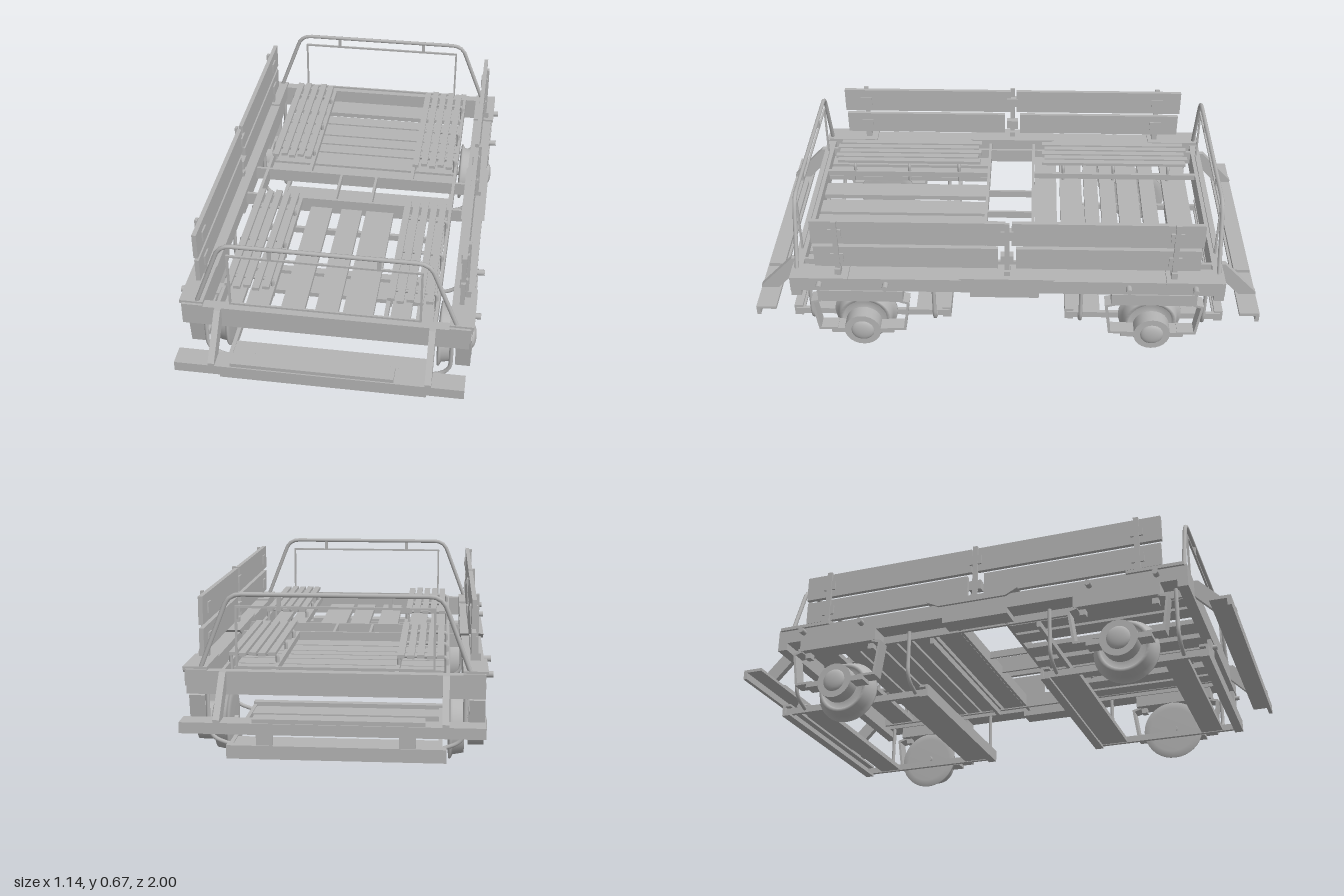
import * as THREE from 'three';

export function createModel() {
  const root = new THREE.Group();
  root.name = 'railWagon';
  const grey = new THREE.MeshStandardMaterial({ color: 0xb4b4b4 });
  grey.name = 'plain grey';

  const add = (name, geo, parent = root) => {
    const m = new THREE.Mesh(geo, grey);
    m.name = name;
    parent.add(m);
    return m;
  };
  // box from its minimum and maximum on each axis
  const box = (name, x0, x1, y0, y1, z0, z1, parent) =>
    add(name, new THREE.BoxGeometry(x1 - x0, y1 - y0, z1 - z0)
      .translate((x0 + x1) / 2, (y0 + y1) / 2, (z0 + z1) / 2), parent);
  // tube along straight runs with rounded corners
  const rod = (name, pts, r, bend = 0.03, parent) => {
    const v = pts.map(p => new THREE.Vector3(...p));
    const path = new THREE.CurvePath();
    let from = v[0];
    for (let i = 1; i < v.length - 1; i++) {
      const a = v[i].clone().add(v[i - 1].clone().sub(v[i]).setLength(bend));
      const b = v[i].clone().add(v[i + 1].clone().sub(v[i]).setLength(bend));
      path.add(new THREE.LineCurve3(from, a));
      path.add(new THREE.QuadraticBezierCurve3(a, v[i], b));
      from = b;
    }
    path.add(new THREE.LineCurve3(from, v[v.length - 1]));
    return add(name, new THREE.TubeGeometry(path, pts.length * 14, r, 8), parent);
  };
  // outline drawn in (z, y), extruded along x from x0 to x1
  const slab = (name, pts, x0, x1, parent) => {
    const s = new THREE.Shape(pts.map(([z, y]) => new THREE.Vector2(-z, y)));
    const g = new THREE.ExtrudeGeometry(s, { depth: x1 - x0, bevelEnabled: false });
    return add(name, g.rotateY(Math.PI / 2).translate(x0, 0, 0), parent);
  };

  // Wheel profile (radius, distance outward), flange on the inner side
  const wheelPts = [[0, 0.41], [0.1, 0.41], [0.128, 0.413], [0.128, 0.42], [0.112, 0.428],
    [0.104, 0.47], [0.09, 0.47], [0.085, 0.455], [0.04, 0.455], [0.035, 0.47], [0, 0.47]];

  for (const sx of [-1, 1]) {
    const X = (a, b) => (sx > 0 ? [a, b] : [-b, -a]);
    // Sole bars, inner sills and the pads on top
    box('sideBeam', ...X(0.46, 0.54), 0.335, 0.395, -0.85, 0.85);
    box('innerSill', ...X(0.4, 0.412), 0.33, 0.39, -0.83, 0.83);
    slab('centrePad', [[-0.14, 0.385], [0.14, 0.385], [0.19, 0.41], [-0.19, 0.41]], ...X(0.455, 0.55));
    box('centreBlock', ...X(0.46, 0.54), 0.312, 0.336, -0.125, 0.145);
    // Side boards in two lengths
    for (const [z0, z1] of [[0.006, 0.755], [-0.755, -0.018]]) {
      box('upperSideBoard', ...X(0.488, 0.505), 0.54, 0.645, z0, z1);
    }
    for (const [z0, z1] of [[0.035, 0.75], [-0.75, -0.035]]) {
      box('lowerSideBoard', ...X(0.488, 0.505), 0.43, 0.525, z0, z1);
    }
    // Posts with hinge straps and feet
    for (const z of [-0.65, 0, 0.66]) {
      box('sidePost', ...X(0.505, 0.516), 0.36, 0.65, z - 0.01, z + 0.01);
      box('postFoot', ...X(0.488, 0.526), 0.395, 0.43, z - 0.012, z + 0.012);
      for (const y of [0.475, 0.59]) {
        box('boardStrap', ...X(0.482, 0.512), y - 0.02, y + 0.02, z - 0.025, z + 0.025);
      }
    }
    // Bolts through the side beam
    for (const z of [-0.735, -0.475, 0.475, 0.735]) {
      const b = add('beamBolt', new THREE.CylinderGeometry(0.012, 0.012, 0.03, 10).rotateZ(Math.PI / 2));
      b.position.set(sx * 0.555, 0.37, z);
    }

    for (const sz of [-1, 1]) {
      const cz = sz * 0.58, Z = (a, b) => (sz > 0 ? [a, b] : [-b, -a]);
      box('endPad', ...X(0.46, 0.55), 0.39, 0.403, ...Z(0.62, 0.84));
      box('suspensionBlock', ...X(0.465, 0.545), 0.285, 0.337, ...Z(0.41, 0.745));
      for (const o of [-0.14, 0.14]) {
        box('blockStud', ...X(0.49, 0.52), 0.262, 0.287, cz + o - 0.012, cz + o + 0.012);
      }
      // Wheel, axle stub and axle box
      const wheel = add('wheel', new THREE.LatheGeometry(
        wheelPts.map(p => new THREE.Vector2(...p)), 36).rotateZ(-Math.PI / 2 * sx));
      wheel.position.set(0, 0.133, cz);
      const stub = add('axleStub', new THREE.CylinderGeometry(0.02, 0.02, 0.12, 16).rotateZ(Math.PI / 2));
      stub.position.set(sx * 0.455, 0.133, cz);
      const hub = add('axleBox', new THREE.CylinderGeometry(0.073, 0.073, 0.058, 24).rotateZ(Math.PI / 2));
      hub.position.set(sx * 0.515, 0.133, cz);
      const cap = add('axleCap', new THREE.SphereGeometry(0.047, 20, 12).scale(0.35, 1, 1));
      cap.position.set(sx * 0.542, 0.133, cz);
      box('axleBoxWings', ...X(0.485, 0.543), 0.12, 0.142, cz - 0.125, cz + 0.125);
      // Bent strap hangers from the beam to the axle box
      for (const d of [-1, 1]) {
        const p = [[0.155, 0.29], [0.195, 0.28], [0.175, 0.135], [0.1, 0.135],
          [0.1, 0.145], [0.166, 0.145], [0.184, 0.272], [0.155, 0.28]];
        slab('axleStrap', p.map(([z, y]) => [cz + d * z, y]), ...X(0.485, 0.543));
      }
      // Sloping bracket for the end step
      slab('stepBracket', [[0.84, 0.39], [0.865, 0.39], [1, 0.25], [1, 0.236], [0.935, 0.236], [0.84, 0.335]]
        .map(([z, y]) => [z * sz, y]), ...X(0.388, 0.412));
      // Curved hangers for the low frame
      for (const z of [0.295, 0.79]) {
        rod('frameHanger', [[sx * 0.47, 0.35, sz * z], [sx * 0.47, 0.13, sz * z], [sx * 0.385, 0.1, sz * z]], 0.008, 0.05);
      }
      box('lowSideBar', ...X(0.375, 0.39), 0.085, 0.112, ...Z(0.24, 0.88));

      // Slatted bench
      const bench = new THREE.Group();
      bench.name = 'bench';
      root.add(bench);
      for (let i = 0; i < 5; i++) {
        const x = 0.222 + i * 0.036, e = (i % 2) * 0.012;
        box('benchSlat', ...X(x, x + 0.026), 0.43, 0.443, ...Z(0.135 + e, 0.765 + e), bench);
      }
      for (const z of [0.23, 0.45, 0.69]) {
        rod('benchBracket', [[sx * 0.4, 0.34, sz * z], [sx * 0.4, 0.422, sz * z],
          [sx * 0.225, 0.422, sz * z], [sx * 0.225, 0.34, sz * z]], 0.007, 0.015, bench);
      }
      box('floorRail', ...X(0.215, 0.23), 0.365, 0.39, ...Z(0.1, 0.84));
    }
  }

  for (const sz of [-1, 1]) {
    const Z = (a, b) => (sz > 0 ? [a, b] : [-b, -a]);
    // End beam and end step
    box('endBeam', -0.54, 0.535, 0.305, 0.39, ...Z(0.81, 0.85));
    box('endStep', -0.54, 0.532, 0.2, 0.24, ...Z(0.985, 1));
    box('endStepTop', -0.54, 0.532, 0.228, 0.24, ...Z(0.92, 1));
    box('stepTread', -0.33, 0.275, 0.24, 0.255, ...Z(0.93, 0.995));
    // Low frame: channels, cross planks and brackets
    for (const [z, d] of [[0.885, -1], [0.235, 1]]) {
      const a = z, b = z + d * 0.01, c = z + d * 0.035;
      box('channelWeb', -0.405, 0.388, 0.075, 0.125, ...Z(Math.min(a, b), Math.max(a, b)));
      for (const y of [0.075, 0.115]) {
        box('channelFlange', -0.405, 0.388, y, y + 0.01, ...Z(Math.min(a, c), Math.max(a, c)));
      }
    }
    for (const [a, b] of [[0.27, 0.38], [0.71, 0.8]]) {
      box('lowCrossPlank', -0.375, 0.375, 0.088, 0.108, ...Z(a, b));
    }
    for (const x of [-0.265, 0.25]) {
      box('bufferBracket', x - 0.03, x + 0.03, 0.12, 0.195, ...Z(0.865, 0.88));
      const pin = add('bracketPin', new THREE.CylinderGeometry(0.009, 0.009, 0.05, 10).rotateX(Math.PI / 2));
      pin.position.set(x, 0.172, sz * 0.873);
    }
    // Frame cross members
    box('crossMember', -0.46, 0.46, 0.335, 0.39, ...Z(0.092, 0.104));
    box('floorBearer', -0.4, 0.4, 0.305, 0.33, ...Z(0.22, 0.235));

    // End hoop with a thin rectangular frame inside
    const z = sz * 0.828;
    rod('endHoop', [[-0.488, 0.39, z], [-0.383, 0.667, z], [0.379, 0.667, z], [0.488, 0.39, z]], 0.0085, 0.045);
    for (const x of [-0.2, 0.198]) box('hoopSpacer', x - 0.007, x + 0.007, 0.62, 0.665, z - 0.005, z + 0.005);
    for (const y of [0.402, 0.622]) box('innerFrameBar', -0.36, 0.356, y - 0.004, y + 0.004, z - 0.004, z + 0.004);
    for (const x of [-0.357, 0.353]) box('innerFramePost', x - 0.004, x + 0.004, 0.4, 0.624, z - 0.004, z + 0.004);
  }

  // Ties across the middle gap
  for (const x of [-0.08, 0.072]) {
    box('middleTie', x - 0.005, x + 0.005, 0.36, 0.39, -0.1, 0.1);
  }

  // Floor planks: lengthwise in the front half, crosswise in the back half
  for (const [a, b] of [[-0.395, -0.33], [-0.31, -0.235], [-0.18, -0.09], [-0.05, 0.037], [0.055, 0.17], [0.235, 0.31], [0.33, 0.395]]) {
    box('lengthwisePlank', a, b, 0.33, 0.35, 0.105, 0.825);
  }
  for (const [a, b] of [[-0.77, -0.665], [-0.63, -0.565], [-0.555, -0.465], [-0.455, -0.39], [-0.38, -0.32], [-0.31, -0.215], [-0.2, -0.105]]) {
    box('crosswisePlank', -0.41, 0.41, 0.335, 0.355, a, b);
  }
  return root;
}
